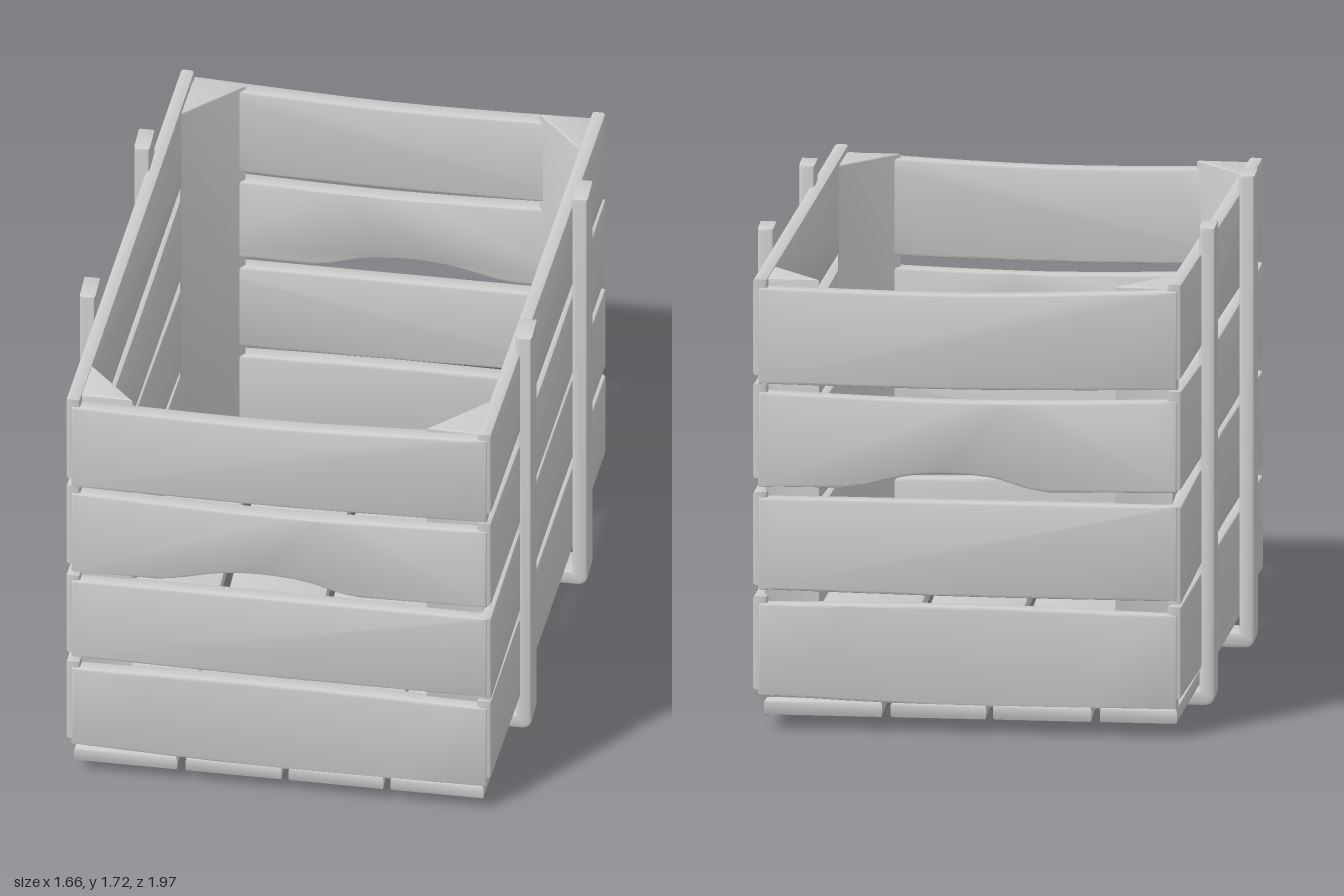
import * as THREE from 'three';
import { toCreasedNormals } from 'three/addons/utils/BufferGeometryUtils.js';

const material = new THREE.MeshStandardMaterial({ color: 0xcccccc });

// Extrude an outline to a board of given thickness, with softly worn edges.
function board(points, thickness, bevel = 0.01) {
  const geometry = new THREE.ExtrudeGeometry(new THREE.Shape(points), {
    depth: thickness - 2 * bevel,
    bevelThickness: bevel, bevelSize: bevel, bevelOffset: -bevel, bevelSegments: 2,
  });
  geometry.translate(0, 0, bevel);
  return toCreasedNormals(geometry, 0.6);
}

function addMesh(parent, name, geometry) {
  const mesh = new THREE.Mesh(geometry, material);
  mesh.name = name;
  parent.add(mesh);
  return mesh;
}

const vec = (list) => list.map(([x, y]) => new THREE.Vector2(x, y));

// Smooth edge through a few heights spread evenly along the plank.
function edge(heights, length) {
  const pts = heights.map((y, i) => [(i / (heights.length - 1)) * length, y]);
  return new THREE.SplineCurve(vec(pts)).getPoints(12);
}

// Plank standing between two floor points [x, z]; its outer face lies on that line.
function wallPlank(parent, name, from, to, bottom, top, thickness) {
  const dx = to[0] - from[0], dz = to[1] - from[1];
  const length = Math.hypot(dx, dz);
  const low = Array.isArray(bottom[0]) ? vec(bottom) : edge(bottom, length);
  const outline = [...low, ...edge(top, length).reverse()];
  const geometry = board(outline, thickness);
  geometry.translate(0, 0, -thickness);
  const mesh = addMesh(parent, name, geometry);
  mesh.position.set(from[0], 0, from[1]);
  mesh.rotation.y = Math.atan2(-dz, dx);
}

// Worn bottom edge with a hollow, for the third end plank.
const hollow = new THREE.SplineCurve(vec([
  [0.3, 0.872], [0.38, 0.885], [0.52, 0.92], [0.66, 0.932], [0.82, 0.92], [0.94, 0.885], [1.02, 0.872],
])).getPoints(20).map((p) => [p.x, p.y]);

const endRows = [
  [[0.12, 0.095, 0.1], [0.45, 0.455, 0.44]],
  [[0.5, 0.49, 0.49], [0.83, 0.83, 0.83]],
  [[[0, 0.87], ...hollow, [1.47, 0.88]], [1.21, 1.19, 1.21]],
  [[1.24, 1.235, 1.25], [1.585, 1.575, 1.605]],
];

const sideRows = [
  [[0.14, 0.13, 0.14], [0.47, 0.48, 0.475]],
  [[0.48, 0.525, 0.515], [0.83, 0.865, 0.85]],
  [[0.89, 0.89, 0.9], [1.245, 1.22, 1.24]],
  [[1.29, 1.285, 1.27], [1.63, 1.62, 1.615]],
];

// One end wall, one side wall and two corner posts; the other half is this turned round.
function halfCrate(endName, sideName) {
  const half = new THREE.Group();
  endRows.forEach(([bottom, top]) =>
    wallPlank(half, endName, [-0.78, 0.985], [0.69, 0.98], bottom, top, 0.06));
  sideRows.forEach(([bottom, top]) =>
    wallPlank(half, sideName, [0.705, 0.975], [0.8, -0.975], bottom, top, 0.05));

  const posts = [
    [[0.67, -0.94], [0.67, -0.74], [0.47, -0.94]],
    [[-0.76, -0.94], [-0.57, -0.94], [-0.76, -0.74]],
  ];
  posts.forEach((corner) => {
    const geometry = board(vec(corner), 1.51, 0.008);
    geometry.rotateX(-Math.PI / 2).translate(0, 0.1, 0);
    addMesh(half, 'cornerPost', geometry);
  });
  return half;
}

// Batten running up one side, under the floor and up the other side.
function batten(parent, left, right, leftTop, rightTop, z) {
  const t = 0.055, r = 0.04;
  const shape = new THREE.Shape();
  shape.moveTo(left, leftTop);
  shape.lineTo(left, r);
  shape.quadraticCurveTo(left, 0, left + r, 0);
  shape.lineTo(right - r, 0);
  shape.quadraticCurveTo(right, 0, right, r);
  shape.lineTo(right, rightTop);
  shape.lineTo(right - t, rightTop);
  shape.lineTo(right - t, t);
  shape.lineTo(left + t, t);
  shape.lineTo(left + t, leftTop);
  const geometry = board(shape.getPoints(6), 0.125, 0.012);
  addMesh(parent, 'batten', geometry.translate(0, 0, z - 0.0625));
}

export function createModel() {
  const crate = new THREE.Group();
  crate.name = 'crate';

  const front = halfCrate('frontPlank', 'leftSidePlank');
  front.name = 'frontHalf';
  const back = halfCrate('backPlank', 'rightSidePlank');
  back.name = 'backHalf';
  back.rotation.y = Math.PI;
  crate.add(front, back);

  // Floor planks, each with [left, right] x at the front and at the back
  const floor = [
    [-0.77, -0.405, -0.69, -0.42],
    [-0.375, -0.035, -0.39, -0.045],
    [-0.01, 0.325, -0.02, 0.315],
    [0.35, 0.68, 0.345, 0.76],
  ];
  floor.forEach(([fl, fr, bl, br]) => {
    const geometry = board(vec([[fl, -0.985], [fr, -0.985], [br, 0.985], [bl, 0.985]]), 0.055);
    geometry.rotateX(-Math.PI / 2).translate(0, 0.05, 0);
    addMesh(crate, 'floorPlank', geometry);
  });

  batten(crate, -0.83, 0.77, 1.7, 1.7, 0.425);
  batten(crate, -0.775, 0.83, 1.72, 1.68, -0.435);
  return crate;
}
